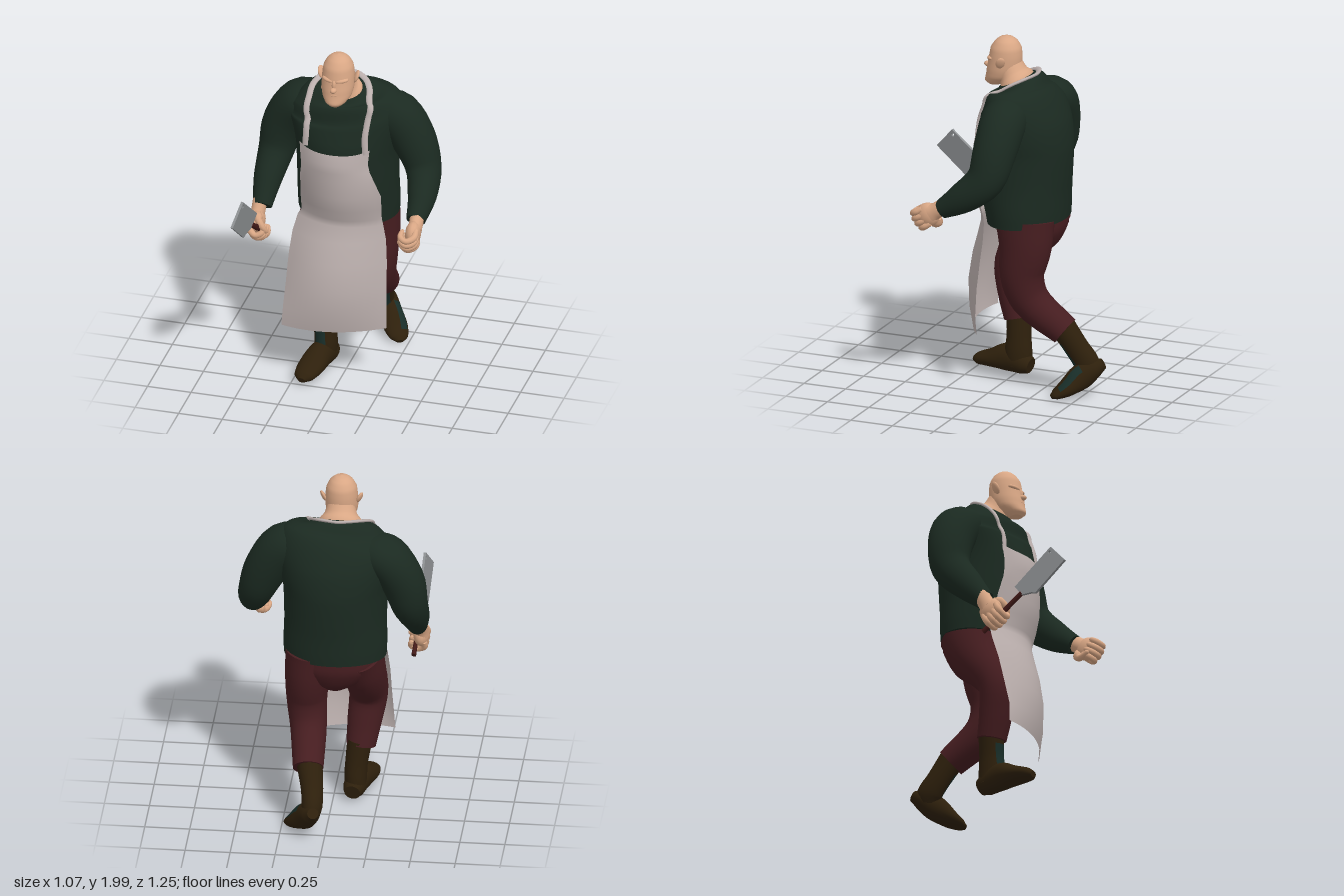
import * as THREE from 'three';

const mat = (name, color, side = THREE.FrontSide) => {
  const m = new THREE.MeshStandardMaterial({ color, side });
  m.name = name;
  return m;
};
const V = (x, y, z) => new THREE.Vector3(x, y, z);

// Grid of rings -> smooth geometry. Faces for which isPatch is true go to a second group.
function skinRings(rings, closed, isPatch) {
  const w = rings[0].length, pos = [], main = [], patch = [];
  rings.forEach(r => r.forEach(p => pos.push(p.x, p.y, p.z)));
  for (let i = 0; i < rings.length - 1; i++) {
    for (let j = 0; j < (closed ? w : w - 1); j++) {
      const k = (j + 1) % w, a = i * w + j, b = i * w + k, c = a + w, d = b + w;
      (isPatch && isPatch(i / (rings.length - 1), j / w * 360) ? patch : main).push(a, b, d, a, d, c);
    }
  }
  const g = new THREE.BufferGeometry();
  g.setAttribute('position', new THREE.Float32BufferAttribute(pos, 3));
  g.setIndex([...main, ...patch]);
  if (patch.length) {
    g.addGroup(0, main.length, 0);
    g.addGroup(main.length, patch.length, 1);
  }
  g.computeVertexNormals();
  return g;
}

// Capped tube through rows [x, y, z, ru, rv] with an oval section.
function limb(rows, { ref = V(0, 0, 1), axis = null, sides = 24, floor = -1, isPatch = null } = {}) {
  const path = new THREE.CatmullRomCurve3(rows.map(r => V(r[0], r[1], r[2])));
  const size = new THREE.CatmullRomCurve3(rows.map(r => V(r[3], r[4] ?? r[3], 0)));
  const n = (rows.length - 1) * 4, rings = [];
  for (let i = 0; i <= n; i++) {
    const c = path.getPoint(i / n), s = size.getPoint(i / n);
    const t = axis || path.getTangent(i / n);
    const u = t.clone().cross(ref).normalize(), v = t.clone().cross(u).normalize();
    const ring = [];
    for (let j = 0; j < sides; j++) {
      const a = j / sides * Math.PI * 2;
      const p = c.clone().addScaledVector(u, Math.cos(a) * s.x).addScaledVector(v, Math.sin(a) * s.y);
      p.y = Math.max(p.y, floor);
      ring.push(p);
    }
    if (i === 0) rings.push(ring.map(() => c), ring);
    rings.push(ring);
    if (i === n) rings.push(ring, ring.map(() => c));
  }
  return skinRings(rings, true, isPatch);
}

export function createModel() {
  const model = new THREE.Group();
  const skin = mat('skin', 0xd9a785), sweater = mat('sweater green', 0x1b2a21);
  const cloth = mat('apron cloth', 0xbcb0ae, THREE.DoubleSide), trousers = mat('trouser red', 0x461d20);
  const leather = mat('boot leather', 0x2e200c), teal = mat('boot teal', 0x192e29);
  const steel = mat('steel', 0x8d9092), wood = mat('handle wood', 0x431a18);
  const add = (name, geo, material, parent = model) => {
    const m = new THREE.Mesh(geo, material);
    m.name = name;
    parent.add(m);
    return m;
  };
  const blob = (name, x, y, z, sx, sy, sz, parent = model) => {
    const m = add(name, new THREE.SphereGeometry(1, 16, 12), skin, parent);
    m.position.set(x, y, z);
    m.scale.set(sx, sy, sz);
    return m;
  };

  // Head and neck
  const X = -0.04;
  add('head', limb([
    [X, 1.715, 0.085, 0.032, 0.035], [X, 1.735, 0.074, 0.058, 0.066], [X, 1.77, 0.045, 0.083, 0.088],
    [X, 1.82, 0.028, 0.091, 0.097], [X, 1.88, 0.02, 0.09, 0.094], [X, 1.93, 0.017, 0.084, 0.087],
    [X, 1.97, 0.015, 0.063, 0.064], [X, 1.992, 0.015, 0.036, 0.036], [X, 2.0, 0.015, 0.004, 0.004],
  ], { axis: V(0, 1, 0) }), skin);
  add('neck', limb([[X, 1.68, -0.085, 0.11, 0.09], [X, 1.748, -0.05, 0.12, 0.096],
    [X, 1.785, -0.028, 0.09, 0.08], [X, 1.85, 0, 0.072, 0.068]]), skin);
  blob('nose', X, 1.823, 0.125, 0.019, 0.016, 0.024);
  blob('noseBridge', X, 1.848, 0.113, 0.012, 0.03, 0.014);
  blob('upperLip', X, 1.79, 0.108, 0.042, 0.013, 0.022);
  blob('lowerLip', X, 1.77, 0.106, 0.038, 0.012, 0.022);
  blob('chin', X, 1.742, 0.107, 0.04, 0.022, 0.027);
  for (const s of [-1, 1]) {
    blob('brow', X + s * 0.036, 1.873, 0.09, 0.042, 0.014, 0.024).rotation.set(0, s * 0.35, s * 0.12);
    const ear = blob('ear', X + s * 0.1, 1.868, 0.01, 0.012, 0.037, 0.026);
    ear.rotation.set(-0.15, s * 0.5, -s * 0.35);
  }

  // Sweater
  const body = add('sweaterBody', limb([
    [-0.02, 0.975, -0.13, 0.285, 0.222], [-0.02, 1.05, -0.125, 0.288, 0.232], [-0.02, 1.2, -0.11, 0.285, 0.255],
    [-0.02, 1.38, -0.108, 0.29, 0.265], [-0.02, 1.51, -0.108, 0.315, 0.25], [-0.025, 1.62, -0.092, 0.335, 0.212],
    [-0.035, 1.69, -0.07, 0.3, 0.166], [X, 1.73, -0.06, 0.225, 0.135], [X, 1.757, -0.048, 0.13, 0.1],
  ], { sides: 40 }), sweater);
  const leftSleeve = add('leftSleeve', limb([[0.15, 1.635, -0.1, 0.09, 0.11], [0.265, 1.6, -0.1, 0.132, 0.13],
    [0.365, 1.46, -0.09, 0.124, 0.122], [0.425, 1.31, -0.06, 0.1, 0.108],
    [0.452, 1.2, 0.06, 0.08, 0.088], [0.452, 1.115, 0.19, 0.054]]), sweater);
  const rightSleeve = add('rightSleeve', limb([[-0.2, 1.63, -0.12, 0.09, 0.12], [-0.305, 1.58, -0.14, 0.125, 0.145],
    [-0.395, 1.44, -0.14, 0.122, 0.125], [-0.43, 1.29, -0.115, 0.103, 0.11],
    [-0.45, 1.15, 0, 0.08, 0.088], [-0.452, 1.03, 0.11, 0.054]]), sweater);

  // Trousers
  add('trouserSeat', limb([[-0.02, 0.76, -0.14, 0.06], [-0.02, 0.83, -0.15, 0.17, 0.14],
    [-0.02, 0.93, -0.15, 0.262, 0.188], [-0.02, 1.03, -0.14, 0.27, 0.2]], { axis: V(0, 1, 0) }), trousers);
  add('leftTrouserLeg', limb([[0.115, 1.0, -0.165, 0.138, 0.17], [0.13, 0.85, -0.172, 0.125, 0.15],
    [0.135, 0.68, -0.155, 0.112, 0.125], [0.122, 0.54, -0.2, 0.102, 0.11], [0.103, 0.38, -0.4, 0.085]]), trousers);
  add('rightTrouserLeg', limb([[-0.15, 1.0, -0.15, 0.138, 0.17], [-0.172, 0.85, -0.09, 0.125, 0.145],
    [-0.187, 0.64, 0.04, 0.108, 0.102], [-0.168, 0.48, 0.025, 0.096, 0.092], [-0.15, 0.335, -0.01, 0.082]]), trousers);

  // Boots with a teal panel on each
  const panel = (from, to) => (t, a) => t > 0.2 && t < 0.9 && a >= from && a < to;
  add('rightBootShaft', limb([[-0.145, 0.37, -0.015, 0.07, 0.072], [-0.128, 0.24, -0.022, 0.063, 0.07],
    [-0.122, 0.15, -0.022, 0.063, 0.078], [-0.123, 0.07, -0.025, 0.06, 0.076]],
  { isPatch: panel(255, 315) }), [leather, teal]);
  add('rightBootFoot', limb([[-0.11, 0.075, -0.1, 0.045, 0.045], [-0.115, 0.085, -0.06, 0.06, 0.065],
    [-0.138, 0.1, 0.04, 0.068, 0.08], [-0.162, 0.078, 0.15, 0.075, 0.052],
    [-0.178, 0.06, 0.235, 0.057, 0.034], [-0.183, 0.05, 0.268, 0.022, 0.016]],
  { ref: V(0, 1, 0), floor: 0.028 }), leather);
  add('leftBootShaft', limb([[0.097, 0.4, -0.385, 0.072], [0.075, 0.28, -0.46, 0.062, 0.07],
    [0.07, 0.2, -0.515, 0.058, 0.075], [0.08, 0.15, -0.53, 0.05, 0.06]],
  { isPatch: panel(205, 255) }), [leather, teal]);
  add('leftBootFoot', limb([[0.055, 0.205, -0.61, 0.032, 0.03], [0.072, 0.178, -0.567, 0.054, 0.052],
    [0.11, 0.13, -0.5, 0.063, 0.072], [0.162, 0.068, -0.43, 0.068, 0.047],
    [0.195, 0.035, -0.38, 0.05, 0.026], [0.205, 0.022, -0.36, 0.02, 0.012]],
  { ref: V(0, 1, 0), floor: 0.004, isPatch: (t, a) => t > 0.35 && t < 0.65 && a >= 205 && a < 255 }), [leather, teal]);

  // Apron: rows [y, left x, right x, middle z, bulge, skew]
  const apron = [
    [0.34, -0.32, 0.25, 0.2, 0.07, 0.06], [0.45, -0.312, 0.252, 0.222, 0.09, 0.055],
    [0.6, -0.305, 0.25, 0.225, 0.115, 0.04], [0.75, -0.3, 0.247, 0.198, 0.115, 0.03],
    [0.88, -0.29, 0.238, 0.158, 0.105, 0.015], [0.97, -0.268, 0.222, 0.128, 0.09, 0],
    [1.01, -0.245, 0.215, 0.132, 0.09, 0], [1.08, -0.245, 0.218, 0.16, 0.1, 0],
    [1.17, -0.243, 0.22, 0.178, 0.1, 0], [1.27, -0.235, 0.19, 0.183, 0.075, 0],
    [1.33, -0.228, 0.165, 0.187, 0.075, 0], [1.38, -0.232, 0.155, 0.19, 0.077, 0], [1.44, -0.24, 0.162, 0.175, 0.072, 0],
  ];
  add('apron', skinRings(apron.map(([y, l, r, z, b, s], i) => Array.from({ length: 17 }, (_, j) => {
    const u = j / 8 - 1;
    const lift = i === apron.length - 1 ? 0.025 * u ** 4 : 0;
    return V((l + r) / 2 + u * (r - l) / 2, y + lift, z - b * u * u - s * u);
  })), false), cloth);

  // Neck strap, laid on the sweater
  const half = [[0.183, 1.44, 0.12], [0.178, 1.54, 0.11], [0.172, 1.63, 0.062], [0.168, 1.705, 0.012],
    [0.155, 1.755, -0.06], [0.1, 1.787, -0.13]];
  const guide = new THREE.CatmullRomCurve3([...half.map(([x, y, z]) => V(X + x, y, z)), V(X, 1.8, -0.165),
    ...half.reverse().map(([x, y, z]) => V(X - x, y, z))]);
  const pivot = V(X, 1.5, -0.1);
  add('apronStrap', limb(guide.getPoints(28).map(p => {
    const dir = pivot.clone().sub(p).normalize();
    const ray = new THREE.Raycaster(p.clone().addScaledVector(dir, -0.4), dir);
    const hit = ray.intersectObjects([body, leftSleeve, rightSleeve])[0];
    const q = (hit ? hit.point : p).clone().addScaledVector(dir, -0.005);
    return [q.x, q.y, q.z, 0.018, 0.009];
  }), { ref: V(0, 1, 0.6), sides: 10 }), cloth);

  // Fists: local y runs from wrist to knuckles, z is the palm side
  const hand = (name, wrist, dir, palm) => {
    const g = new THREE.Group();
    g.name = name;
    const y = dir.normalize(), x = y.clone().cross(palm).normalize();
    g.setRotationFromMatrix(new THREE.Matrix4().makeBasis(x, y, x.clone().cross(y)));
    g.position.copy(wrist);
    g.scale.setScalar(1.15);
    add('wrist', limb([[0, -0.04, 0, 0.04, 0.035], [0, 0.015, 0, 0.04, 0.034], [0, 0.05, 0, 0.05, 0.034]]), skin, g);
    blob('palm', 0, 0.065, 0.004, 0.06, 0.06, 0.038, g);
    for (let i = 0; i < 4; i++) {
      const fx = (i - 1.5) * 0.027, k = i === 1 || i === 2 ? 0.008 : 0;
      add('finger', limb([[fx, 0.07, -0.014, 0.014], [fx, 0.112 + k, -0.012, 0.017], [fx, 0.138 + k, 0.022, 0.015],
        [fx, 0.118 + k, 0.053, 0.0145], [fx, 0.085, 0.05, 0.012], [fx, 0.075, 0.043, 0.004]],
      { ref: V(1, 0, 0), sides: 10 }), skin, g);
    }
    add('thumb', limb([[0.035, 0.03, 0.01, 0.018], [0.062, 0.06, 0.03, 0.018], [0.05, 0.095, 0.056, 0.015],
      [0.025, 0.11, 0.068, 0.011], [0.018, 0.113, 0.07, 0.003]], { ref: V(0, 0, 1), sides: 10 }), skin, g);
    model.add(g);
  };
  hand('leftHand', V(0.46, 1.115, 0.205), V(0.05, -0.5, 0.8), V(-1, 0, 0.1));
  hand('rightHand', V(-0.47, 1.02, 0.115), V(-0.05, -0.85, 0.5), V(1, 0, 0.1));

  // Cleaver: local x runs along the handle towards the blade tip
  const cleaver = new THREE.Group();
  cleaver.name = 'cleaver';
  const u = V(-0.06, 0.57, 0.82).normalize(), w = u.clone().cross(V(0.2, 0.82, -0.57)).normalize();
  cleaver.setRotationFromMatrix(new THREE.Matrix4().makeBasis(u, w.clone().cross(u), w));
  cleaver.position.set(-0.455, 1.065, 0.39);
  const blade = new THREE.Shape([[-0.075, 0.07], [-0.07, -0.015], [-0.015, -0.06], [0, -0.084], [0.244, -0.062], [0.222, 0.094]]
    .map(p => new THREE.Vector2(...p)));
  blade.holes.push(new THREE.Path().absarc(0.2, 0.07, 0.009, 0, Math.PI * 2, true));
  const bladeGeo = new THREE.ExtrudeGeometry(blade, { depth: 0.014, bevelEnabled: false });
  bladeGeo.translate(0, 0, -0.007);
  add('blade', bladeGeo, steel, cleaver);
  add('handle', limb([[-0.37, 0, 0, 0.018, 0.013], [-0.3, 0, 0, 0.016, 0.012], [-0.15, 0, 0, 0.016, 0.012],
    [-0.065, 0, 0, 0.015, 0.012]], { sides: 10 }), wood, cleaver);
  model.add(cleaver);

  return model;
}
